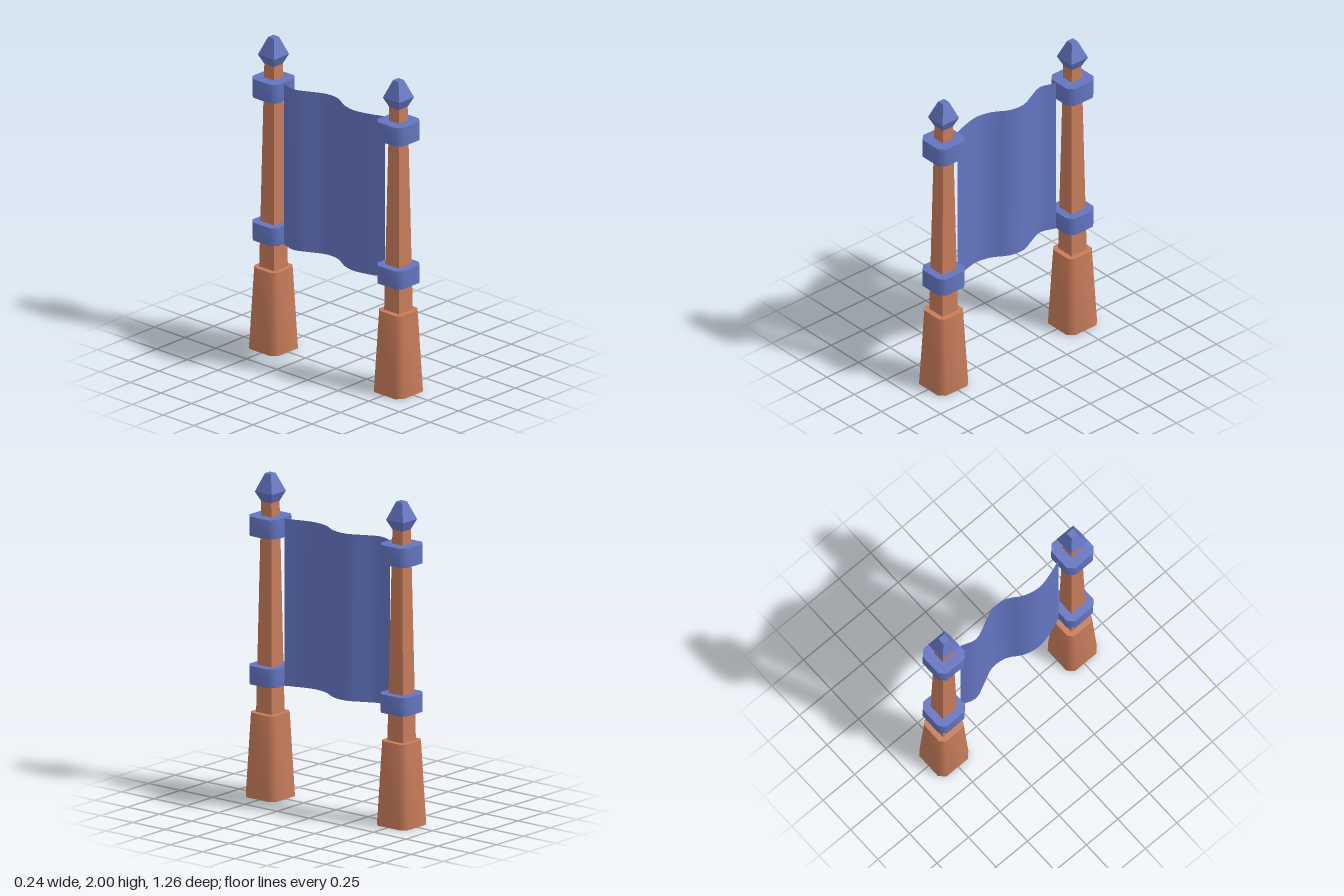
import * as THREE from 'three';
import { toCreasedNormals } from 'three/addons/utils/BufferGeometryUtils.js';

// Upright tapered prism on y = 0: square with optional cut corners
function taperedPrism(height, bottom, top, cut = 0) {
  const b = bottom, c = bottom - cut;
  const corners = cut > 0
    ? [[b, -c], [b, c], [c, b], [-c, b], [-b, c], [-b, -c], [-c, -b], [c, -b]]
    : [[b, -b], [b, b], [-b, b], [-b, -b]];
  const shape = new THREE.Shape(corners.map(([x, y]) => new THREE.Vector2(x, y)));
  const geo = new THREE.ExtrudeGeometry(shape, { depth: height, bevelEnabled: false });
  geo.rotateX(-Math.PI / 2);
  const p = geo.attributes.position;
  for (let i = 0; i < p.count; i++) {
    const s = 1 + (top / bottom - 1) * p.getY(i) / height;
    p.setX(i, p.getX(i) * s);
    p.setZ(i, p.getZ(i) * s);
  }
  // cut corners blend smoothly, square edges stay sharp
  return toCreasedNormals(geo, THREE.MathUtils.degToRad(52));
}

export function createModel() {
  const model = new THREE.Group();
  model.name = 'bannerBetweenPosts';

  const wood = new THREE.MeshStandardMaterial({ color: 0xc67b59 });
  wood.name = 'wood';
  const blue = new THREE.MeshStandardMaterial({ color: 0x6375c0, side: THREE.DoubleSide });
  blue.name = 'blue';

  // Two matching posts
  for (const side of [1, -1]) {
    const post = new THREE.Group();
    post.name = side > 0 ? 'frontPost' : 'backPost';
    post.position.z = 0.51 * side;
    const add = (name, material, y, ...size) => {
      const mesh = new THREE.Mesh(taperedPrism(...size), material);
      mesh.name = name;
      mesh.position.y = y;
      post.add(mesh);
    };
    add('foot', wood, 0, 0.522, 0.121, 0.095, 0.036);
    add('shaft', wood, 0.5, 1.33, 0.061, 0.039);
    add('lowerBand', blue, 0.7, 0.115, 0.106, 0.106, 0.036);
    add('upperBand', blue, 1.62, 0.12, 0.106, 0.106, 0.036);
    add('finialBase', blue, 1.82, 0.068, 0.036, 0.066);
    add('finialTip', blue, 1.888, 0.112, 0.066, 0.023);
    model.add(post);
  }

  // Rippled cloth hung between the posts; offsets run from front to back
  const ripple = [0, -0.035, -0.055, -0.035, 0.02, 0.028, -0.015, -0.055, -0.025];
  const wave = new THREE.CatmullRomCurve3(
    ripple.map((x, i) => new THREE.Vector3(x, 0, 0.4 - 0.1 * i)));
  const cloth = new THREE.PlaneGeometry(0.8, 1.035, 24, 1);
  const p = cloth.attributes.position;
  for (let i = 0; i < p.count; i++) {
    const q = wave.getPoint(THREE.MathUtils.clamp(p.getX(i) / 0.8 + 0.5, 0, 1));
    p.setXYZ(i, q.x, p.getY(i) + 1.2175, q.z);
  }
  cloth.computeVertexNormals();
  const banner = new THREE.Mesh(cloth, blue);
  banner.name = 'bannerCloth';
  model.add(banner);

  return model;
}
